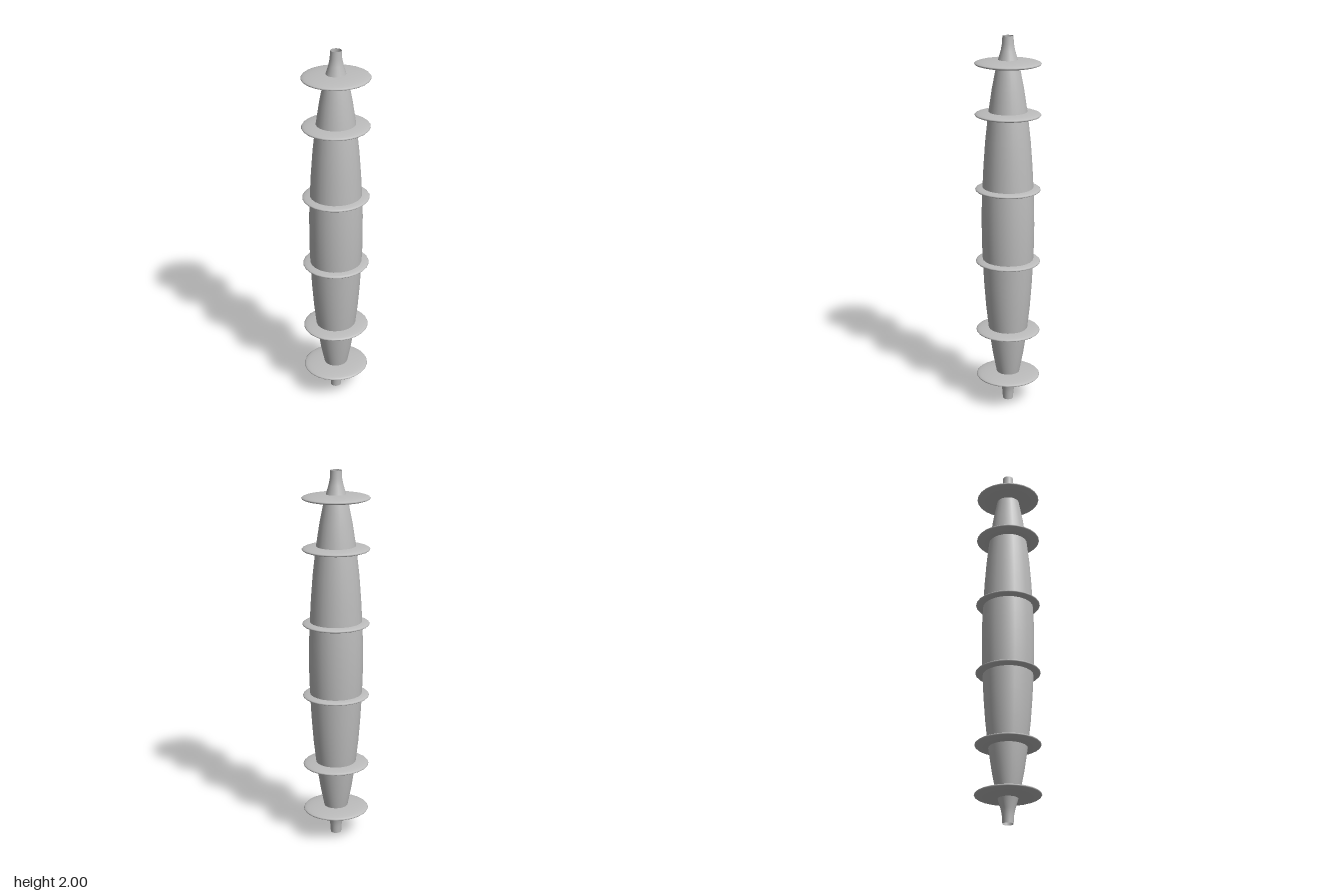
import * as THREE from 'three';

const SIDES = 24;
const DEPTH = 0.963; // the round parts are slightly narrower front to back

export function createModel() {
  const model = new THREE.Group();
  model.name = 'ringedSpindle';
  const grey = new THREE.MeshStandardMaterial({ color: 0xbcbcbc, side: THREE.DoubleSide });
  grey.name = 'grey';

  const lathe = (points) => {
    const g = new THREE.LatheGeometry(points, SIDES, Math.PI / 2);
    g.scale(1, 1, DEPTH);
    return g;
  };

  // Hollow tapered body, open at both tips; lower half mirrors the upper
  const half = [
    [0.143, 0], [0.142, 0.1], [0.138, 0.2], [0.131, 0.33], [0.121, 0.46],
    [0.105, 0.6], [0.085, 0.73], [0.063, 0.84], [0.053, 0.875],
    [0.038, 0.925], [0.031, 0.96], [0.029, 1],
  ];
  const lower = half.slice(1).reverse().map(([r, h]) => new THREE.Vector2(r, 1 - h));
  const upper = half.map(([r, h]) => new THREE.Vector2(r, 1 + h));
  const body = new THREE.Mesh(lathe([...lower, ...upper]), grey);
  body.name = 'body';
  model.add(body);

  // Lens-shaped discs threaded on the body
  const lens = [];
  for (let i = 0; i <= 16; i++) {
    const a = -Math.PI / 2 + (i / 16) * Math.PI;
    lens.push(new THREE.Vector2(Math.max(0, 0.177 * Math.cos(a)), 0.02 * Math.sin(a)));
  }
  const discGeometry = lathe(lens);
  [0.147, 0.41, 0.805, 1.2, 1.597, 1.86].forEach((y, i) => {
    const disc = new THREE.Mesh(discGeometry, grey);
    disc.name = `disc${i + 1}`;
    disc.position.y = y;
    model.add(disc);
  });
  return model;
}
